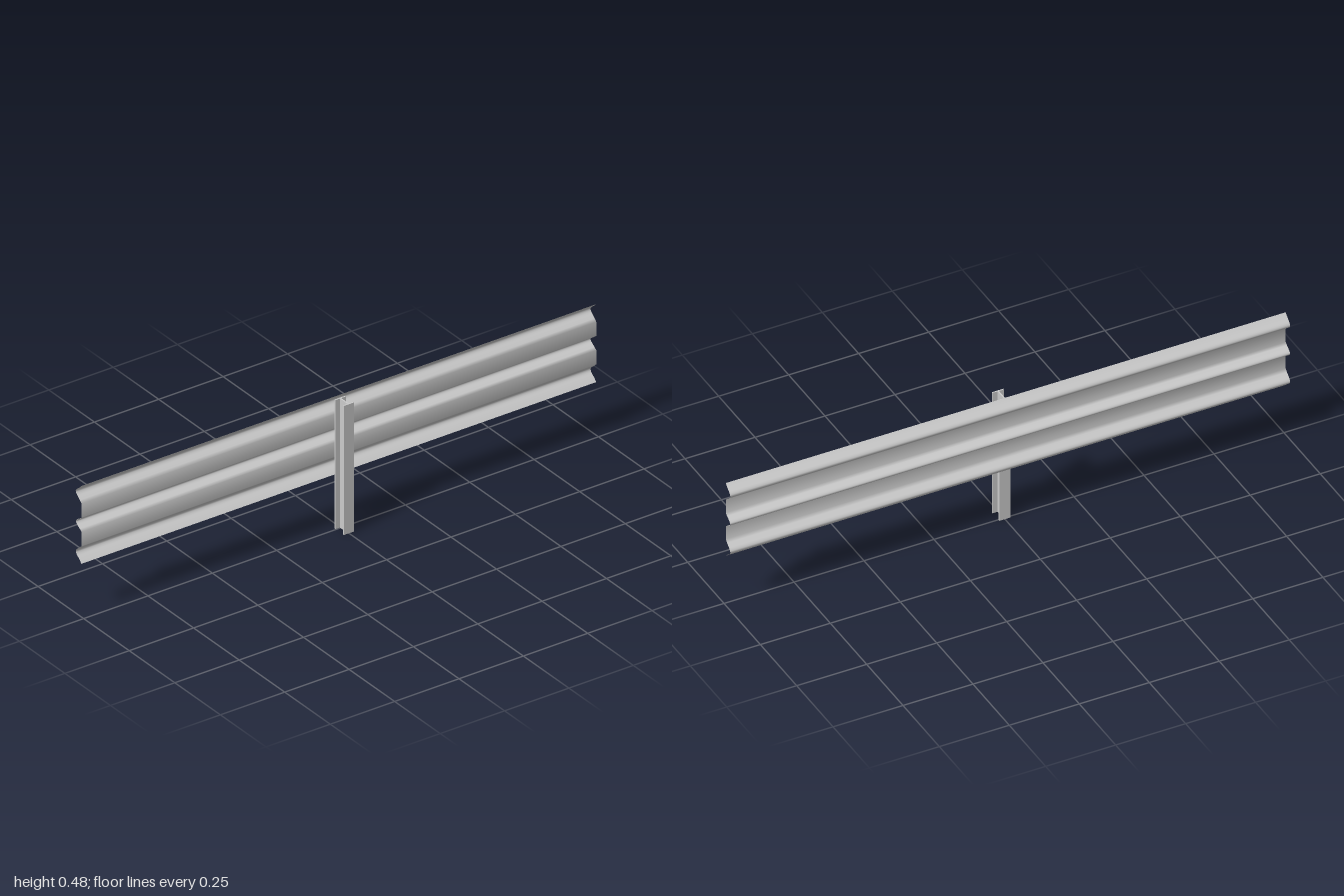
import * as THREE from 'three';

export function createModel() {
  const group = new THREE.Group();
  group.name = 'guardrail';
  const steel = new THREE.MeshStandardMaterial({ color: 0xcccccc });
  const sheet = new THREE.MeshStandardMaterial({ color: 0xcccccc, side: THREE.DoubleSide });

  // Corrugated rail: three rounded waves bulging to the back
  const wave = [[1, -0.012], [0.72, -0.021], [0.4, -0.034], [0.27, -0.039], [0.13, -0.042], [0, -0.0435]];
  const profile = [];
  for (const [centre, half] of [[0.447, 0.0325], [0.337, 0.0262], [0.227, 0.0325]]) {
    for (const [t, z] of wave) profile.push([centre + t * half, z]);
    for (const [t, z] of wave.slice(0, -1).reverse()) profile.push([centre - t * half, z]);
  }
  const railGeometry = new THREE.PlaneGeometry(2, 1, 1, profile.length - 1);
  const position = railGeometry.attributes.position;
  for (let i = 0; i < position.count; i++) {
    const [y, z] = profile[Math.floor(i / 2)];
    position.setY(i, y);
    position.setZ(i, z);
  }
  railGeometry.computeVertexNormals();
  const rail = new THREE.Mesh(railGeometry, sheet);
  rail.name = 'corrugatedRail';
  group.add(rail);

  // I-beam post: cross-section in x and z, extruded upwards
  const w = 0.02, web = 0.0025, back = -0.007, front = 0.0435, t = 0.0045;
  const right = [[w, back], [w, back + t], [web, back + t], [web, front - t], [w, front - t], [w, front]];
  const left = right.map(([x, z]) => [-x, z]).reverse();
  const section = new THREE.Shape([...right, ...left].map(([x, z]) => new THREE.Vector2(x, -z)));
  const postGeometry = new THREE.ExtrudeGeometry(section, { depth: 0.472, bevelEnabled: false });
  postGeometry.rotateX(-Math.PI / 2);
  const post = new THREE.Mesh(postGeometry, steel);
  post.name = 'post';
  group.add(post);

  return group;
}
